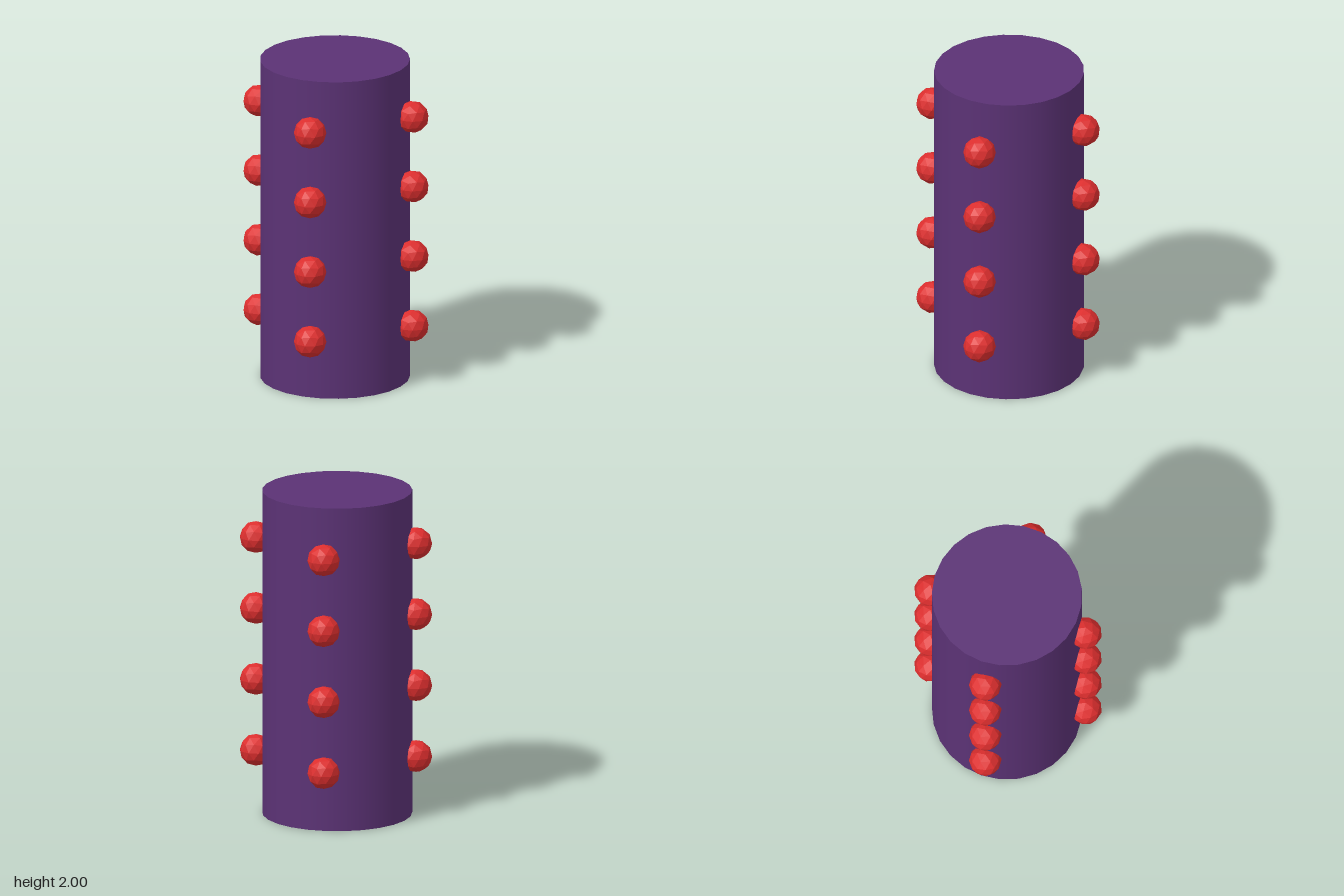
import * as THREE from 'three';

export function createModel() {
  const model = new THREE.Group();
  model.name = 'studdedColumn';

  const purple = new THREE.MeshStandardMaterial({ color: 0x5b3275 });
  const red = new THREE.MeshStandardMaterial({ color: 0xdc2e2e, flatShading: true });

  // Smooth 25-sided column, one corner pointing to the back
  const column = new THREE.Mesh(
    new THREE.CylinderGeometry(0.451, 0.451, 2, 25, 1, false, Math.PI), purple);
  column.name = 'column';
  column.position.set(-0.008, 1, -0.004);
  model.add(column);

  // Faceted ball with a corner at its top and one pointing outward (+z)
  const ball = new THREE.IcosahedronGeometry(0.098, 1);
  ball.rotateZ(Math.atan2(1, (1 + Math.sqrt(5)) / 2));

  // Four vertical rows of four studs, a quarter turn apart
  const rows = ['front', 'left', 'back', 'right'];
  rows.forEach((side, i) => {
    const row = new THREE.Group();
    row.name = side + 'StudRow';
    row.rotation.y = i * Math.PI / 2;
    for (let j = 0; j < 4; j++) {
      const stud = new THREE.Mesh(ball, red);
      stud.name = 'stud';
      stud.position.set(0, 0.367 + j * 0.44, 0.486);
      row.add(stud);
    }
    model.add(row);
  });

  return model;
}
